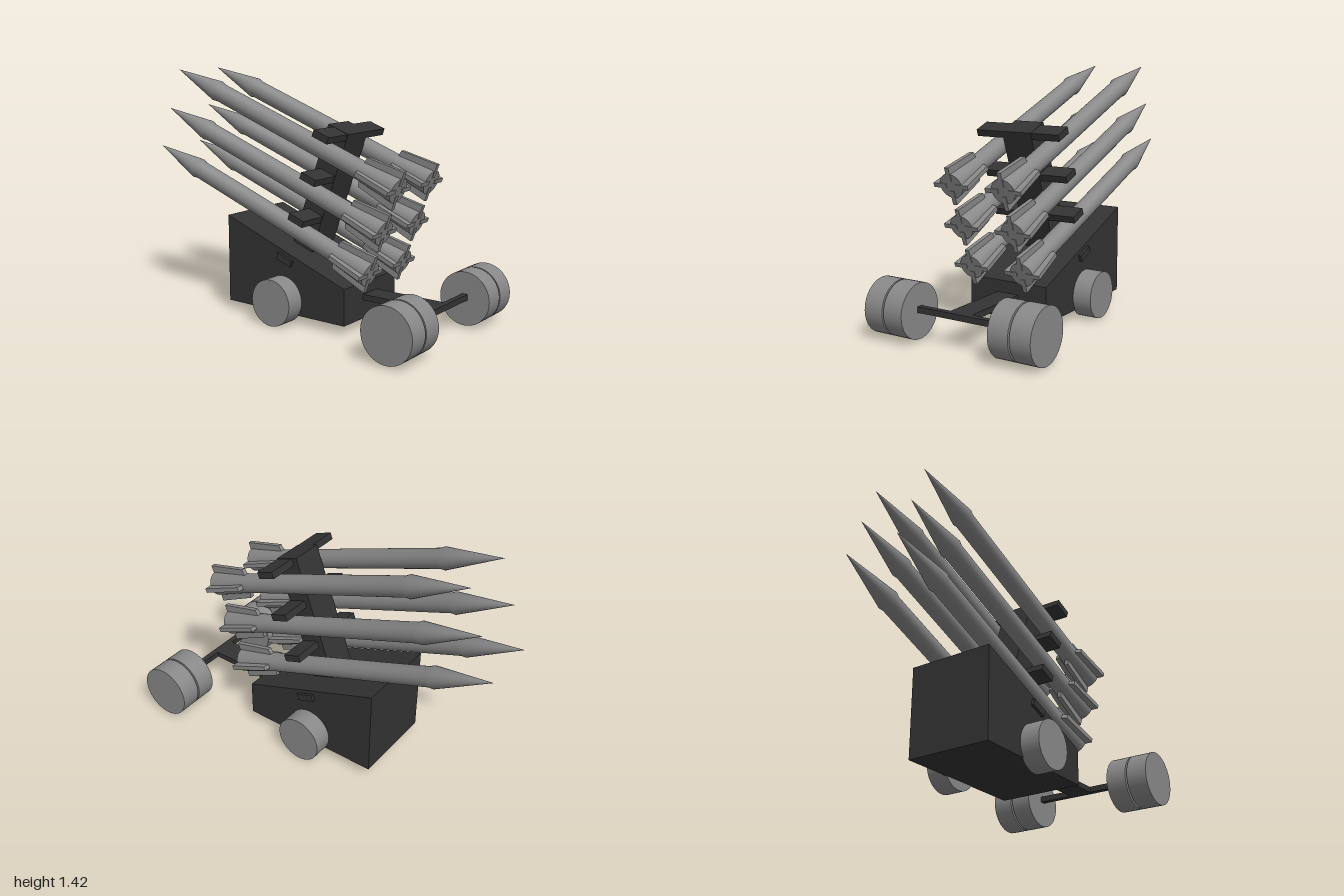
import * as THREE from 'three';
import { toCreasedNormals } from 'three/addons/utils/BufferGeometryUtils.js';

export function createModel() {
  const model = new THREE.Group();
  model.name = 'missileTrailer';
  const dark = new THREE.MeshStandardMaterial({ color: 0x333333 });
  const grey = new THREE.MeshStandardMaterial({ color: 0x888888 });

  const add = (parent, name, geometry, material, x = 0, y = 0, z = 0) => {
    const mesh = new THREE.Mesh(geometry, material);
    mesh.name = name;
    mesh.position.set(x, y, z);
    parent.add(mesh);
    return mesh;
  };
  const box = (parent, name, w, h, d, x, y, z) =>
    add(parent, name, new THREE.BoxGeometry(w, h, d), dark, x, y, z);

  // Trailer axes: +x to the rear, z across; turned 45 degrees as a whole
  const trailer = new THREE.Group();
  trailer.name = 'trailer';
  trailer.rotation.y = -Math.PI / 4;
  model.add(trailer);

  // Wedge body with sloping deck
  const side = new THREE.Shape([[-0.594, 0.055], [0.258, 0.055], [0.258, 0.267], [-0.594, 0.58]]
    .map(([x, y]) => new THREE.Vector2(x, y)));
  add(trailer, 'body', new THREE.ExtrudeGeometry(side, { depth: 0.506, bevelEnabled: false }), dark, 0, 0, -0.253);

  // Drawbar and axle
  box(trailer, 'drawbar', 0.48, 0.034, 0.14, 0.475, 0.18, 0);
  box(trailer, 'axle', 0.035, 0.034, 0.6, 0.715, 0.18, 0);

  // Wheels: single ones beside the body, twin ones on the axle
  const wheel = (name, r, w, x, z) => {
    const g = new THREE.CylinderGeometry(r, r, w, 40).rotateX(Math.PI / 2);
    add(trailer, name, g, grey, x, name === 'bodyWheel' ? r : 0.168, z);
  };
  for (const s of [-1, 1]) {
    wheel('bodyWheel', 0.137, 0.12, -0.178, s * 0.306);
    wheel('axleWheel', 0.157, 0.122, 0.712, s * 0.335 - 0.008);
    wheel('axleWheel', 0.157, 0.122, 0.712, s * 0.467 - 0.008);
  }

  // Launcher frame tilted 20 degrees: +x down the missiles, +y across the stack
  const launcher = new THREE.Group();
  launcher.name = 'launcher';
  launcher.position.set(0.373, 0.352, 0);
  launcher.rotation.z = -THREE.MathUtils.degToRad(20);
  trailer.add(launcher);

  const pitch = 0.257;
  box(launcher, 'column', 0.145, 0.833, 0.19, -0.52, 0.2165, 0);
  for (let k = 0; k < 4; k++)
    box(launcher, 'crossbar', 0.108, 0.04, 0.54, -0.504, 0.611 - k * pitch, 0);

  // Missile hull: flared tail, straight tube, pointed nose with a slight shoulder
  const profile = [[0, 0], [0.073, 0], [0.055, 0.25], [0.055, 1.345], [0.062, 1.37], [0, 1.714]]
    .map(([r, y]) => new THREE.Vector2(r, y));
  const hull = toCreasedNormals(new THREE.LatheGeometry(profile, 32), 0.6).rotateZ(Math.PI / 2);

  // Tail fin drawn along the hull, thickness across it
  const finShape = new THREE.Shape([[0.004, 0.03], [0.004, 0.113], [-0.235, 0.088], [-0.25, 0.03]]
    .reverse().map(([x, y]) => new THREE.Vector2(x, y)));
  const fin = new THREE.ExtrudeGeometry(finShape, { depth: 0.026, bevelEnabled: false }).translate(0, 0, -0.013);

  for (const s of [-1, 1]) {
    for (let k = 0; k < 3; k++) {
      const missile = new THREE.Group();
      missile.name = 'missile';
      missile.position.set(0, k * pitch, s * 0.168);
      launcher.add(missile);
      add(missile, 'hull', hull, grey);
      for (let i = 0; i < 4; i++) add(missile, 'fin', fin, grey).rotation.x = i * Math.PI / 2;
    }
  }
  return model;
}
